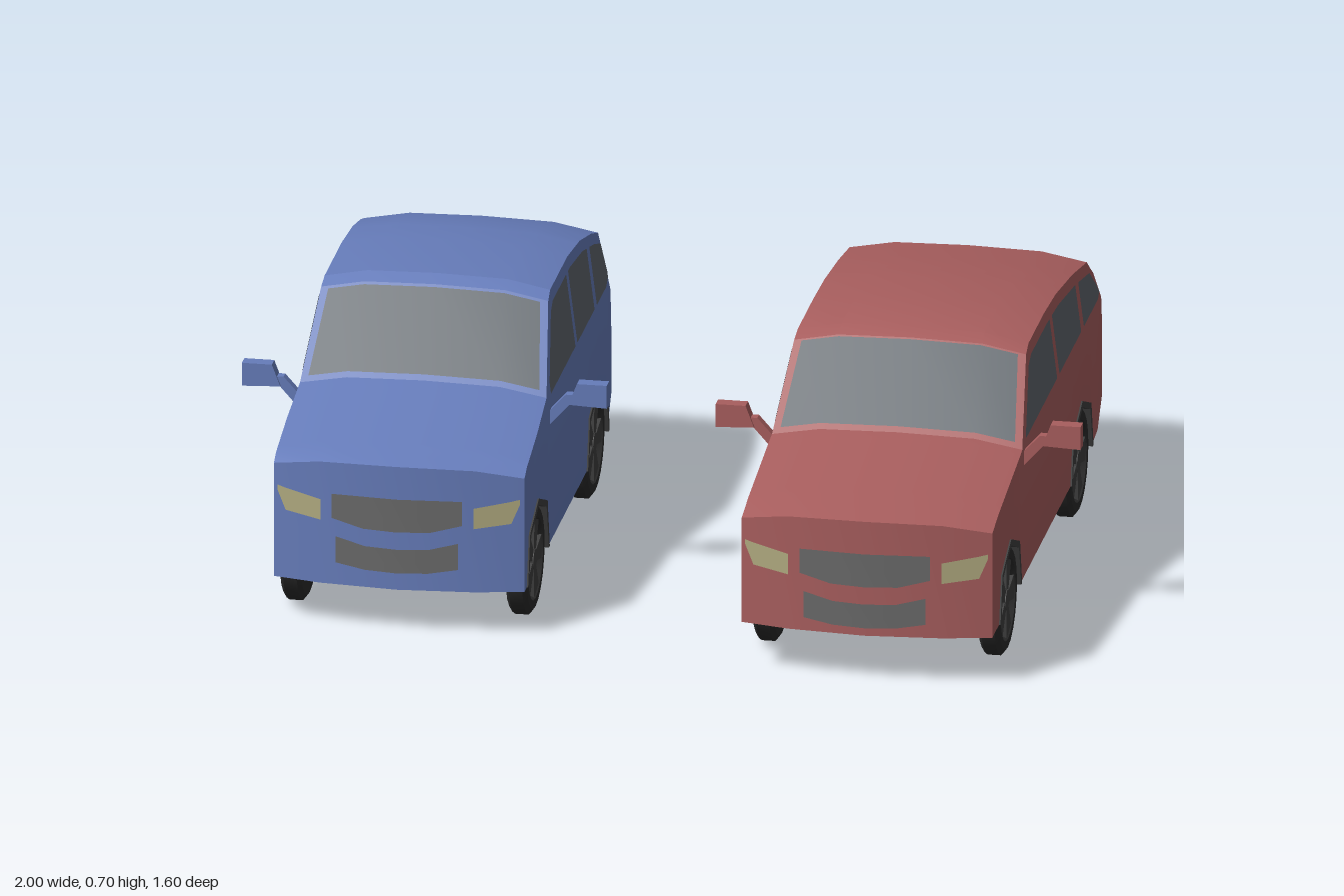
import * as THREE from 'three';
import { toCreasedNormals } from 'three/addons/utils/BufferGeometryUtils.js';

const HALF = 0.2975, BELT = 0.44;
const mat = (color) => new THREE.MeshStandardMaterial({ color, side: THREE.DoubleSide });
const glass = mat(0x5f666c), grey = mat(0x6a6a6a), lamp = mat(0xb0aa80), black = mat(0x2a2a2a), rimGrey = mat(0x404040);

function add(parent, name, geometry, material) {
  const m = new THREE.Mesh(geometry, material);
  m.name = name;
  parent.add(m);
  return m;
}

// Surface through rows of points
function grid(rows) {
  const n = rows[0].length, index = [];
  for (let i = 0; i < rows.length - 1; i++) {
    for (let j = 0; j < n - 1; j++) {
      const a = i * n + j, c = a + n;
      index.push(a, a + 1, c, a + 1, c + 1, c);
    }
  }
  const g = new THREE.BufferGeometry();
  g.setAttribute('position', new THREE.Float32BufferAttribute(rows.flat(2), 3));
  g.setIndex(index);
  g.computeVertexNormals();
  return toCreasedNormals(g, 0.35);
}

// Linear interpolation in a list of [position, value], positions falling
function lerpList(list, p) {
  for (let i = 1; i < list.length; i++) {
    const [p0, v0] = list[i - 1], [p1, v1] = list[i];
    if (p >= p1) return v0 + (v1 - v0) * Math.min(1, Math.max(0, (p0 - p) / (p0 - p1)));
  }
  return list[list.length - 1][1];
}

const polygon = (pts) => new THREE.Shape(pts.map(([x, y]) => new THREE.Vector2(x, y)));

function makeWheel() {
  const wheel = new THREE.Group();
  wheel.name = 'wheel';
  const profile = [[0, -0.025], [0.118, -0.025], [0.131, -0.016], [0.131, 0.016], [0.118, 0.025],
    [0.098, 0.025], [0.092, 0.012], [0, 0.012]].map(([r, y]) => new THREE.Vector2(r, y));
  add(wheel, 'tyre', toCreasedNormals(new THREE.LatheGeometry(profile, 20), 0.5), black);
  add(wheel, 'hub', new THREE.CylinderGeometry(0.025, 0.025, 0.012, 10), rimGrey).position.y = 0.018;
  for (let i = 0; i < 5; i++) {
    const spoke = polygon([[0.015, -0.012], [0.093, -0.03], [0.093, 0.03], [0.015, 0.012]]);
    const g = new THREE.ExtrudeGeometry(spoke, { depth: 0.01, bevelEnabled: false });
    g.rotateX(-Math.PI / 2).translate(0, 0.012, 0).rotateY((i / 5) * Math.PI * 2 + 0.3);
    add(wheel, 'spoke', g, rimGrey);
  }
  wheel.rotation.z = -Math.PI / 2;
  return wheel;
}

function makeCar(c) {
  const car = new THREE.Group();
  car.name = c.name;
  const paint = mat(c.color);
  const front = c.top[0][0], rear = c.top[c.top.length - 1][0];

  // Lower edge, with a notch over each wheel
  const bottom = [[front, c.base]];
  for (const w of c.wheels) {
    for (const [dz, y] of [[0.14, c.base], [0.112, 0.235], [0, 0.28], [-0.112, 0.235], [-0.14, c.base]]) {
      bottom.push([w + dz, y]);
    }
  }
  bottom.push([rear, c.base + 0.035]);

  const topY = (z) => lerpList(c.top, z);
  const botY = (z) => lerpList(bottom, z);
  const taperStart = rear + 0.17;
  const halfWidth = (y, z) => HALF - Math.max(0, y - BELT) * 0.125 - Math.max(0, taperStart - z) * 0.118;
  const drop = (f) => lerpList([[1, 0.024], [0.62, 0.004], [0, 0]], Math.abs(f));
  const noseZ = (x) => front - lerpList([[HALF, 0.04], [0.18, 0.014], [0, 0]], Math.abs(x));
  const across = [-1, -0.62, 0, 0.62, 1];
  const atTop = (f, z, lift = 0) => {
    const x = halfWidth(topY(z) - drop(1), z) * f;
    return [x, topY(z) - drop(f) + lift, (z === front ? noseZ(x) : z)];
  };
  const atSide = (y, z, s, lift = 0) => {
    const x = s * (halfWidth(y, z) + lift);
    return [x, y, z === front ? noseZ(x) : z];
  };

  // Body shell: sections from nose to tail
  const stations = [...new Set([...c.top, ...bottom].map((p) => p[0]).concat(taperStart))].sort((a, b) => b - a);
  const sections = stations.map((z) => {
    const edge = topY(z) - drop(1), mid = Math.min(BELT, edge);
    return [atSide(botY(z), z, -1), atSide(mid, z, -1), ...across.map((f) => atTop(f, z)),
      atSide(mid, z, 1), atSide(botY(z), z, 1)];
  });
  add(car, 'bodyShell', grid(sections), paint);
  const low = (z) => across.map((f) => {
    const [x, , pz] = atTop(f, z);
    return [x, botY(z), pz];
  });
  const high = (z) => across.map((f) => atTop(f, z));
  add(car, 'nosePanel', grid([low(front), high(front)]), paint);
  add(car, 'tailPanel', grid([high(rear), low(rear)]), paint);

  // Underside and inner walls of the wheel wells
  add(car, 'underside', grid(stations.slice().reverse().map(low)), black);
  const z0 = c.wheels[0] + 0.15, z1 = c.wheels[1] - 0.15;
  add(car, 'floorPan', new THREE.BoxGeometry(0.47, 0.17, z0 - z1), black)
    .position.set(0, c.base + 0.086, (z0 + z1) / 2);

  // Windscreen and rear window lie on the shell
  const pane = (name, za, zb, fa, fb) => {
    const row = (z, w) => [-1, -0.66, 0, 0.66, 1].map((f) => atTop(f * w, z, 0.004));
    add(car, name, grid([row(za, fa), row(zb, fb)]), glass);
  };
  pane('windscreen', c.screen[0], c.screen[1], 0.94, 0.93);
  pane('rearWindow', c.backlight[0], c.backlight[1], 0.83, 0.87);

  // Grilles and lamps follow the curve of the nose: columns of [x, low, high]
  const nosePatch = (parent, name, cols, material) => {
    const row = (k) => cols.map((p) => [p[0], p[k] + c.faceLift, noseZ(p[0]) + 0.004]);
    add(parent, name, grid([row(1), row(2)]), material);
  };
  nosePatch(car, 'upperGrille', [[-0.155, 0.265, 0.325], [-0.08, 0.245, 0.325], [0, 0.243, 0.325],
    [0.08, 0.245, 0.325], [0.155, 0.265, 0.325]], grey);
  nosePatch(car, 'lowerGrille', [[-0.145, 0.155, 0.22], [-0.075, 0.143, 0.202], [0, 0.141, 0.2],
    [0.075, 0.143, 0.202], [0.145, 0.155, 0.22]], grey);
  add(car, 'numberPlate', new THREE.BoxGeometry(0.135, 0.06, 0.012), grey).position.set(0, 0.195, rear - 0.001);

  // Everything paired, built on the left and mirrored
  for (const s of [1, -1]) {
    const side = new THREE.Group();
    side.name = s > 0 ? 'leftSide' : 'rightSide';
    side.scale.x = s;
    car.add(side);

    for (const [za, zb] of c.windows) {
      const zs = [za, ...stations.filter((z) => z < za && z > zb), zb];
      const row = (fn) => zs.map((z) => atSide(fn(z), z, 1, 0.003));
      add(side, 'sideWindow', grid([row(() => c.sill), row((z) => Math.max(c.sill, topY(z) - 0.05))]), glass);
    }

    for (const w of c.wheels) {
      const wheel = makeWheel();
      wheel.position.set(0.268, 0.131, w);
      side.add(wheel);
      const arch = polygon([[-0.142, c.base], [-0.114, 0.236], [0, 0.282], [0.114, 0.236], [0.142, c.base],
        [0.13, c.base], [0.1, 0.225], [0, 0.267], [-0.1, 0.225], [-0.13, c.base]]);
      const g = new THREE.ExtrudeGeometry(arch, { depth: 0.06, bevelEnabled: false });
      g.rotateY(Math.PI / 2).translate(0.241, 0, w);
      add(side, 'wheelArch', g, rimGrey);
    }

    const mirror = (name, pts, depth) => {
      const g = new THREE.ExtrudeGeometry(polygon(pts), { depth, bevelEnabled: false });
      g.translate(0, c.mirror[1], c.mirror[0] - depth / 2);
      add(side, name, g, paint);
    };
    mirror('mirrorHousing', [[0.342, 0.452], [0.433, 0.448], [0.433, 0.505], [0.362, 0.505]], 0.032);
    mirror('mirrorArm', [[0.29, 0.39], [0.345, 0.452], [0.352, 0.475], [0.335, 0.475], [0.29, 0.425]], 0.022);

    nosePatch(side, 'headlight', [[0.182, 0.258, 0.309], [0.268, 0.27, 0.325], [0.288, 0.318, 0.33]], lamp);
    add(side, 'tailLight', new THREE.BoxGeometry(0.085, 0.05, 0.01), lamp).position.set(0.22, 0.305, rear);
  }
  car.position.x = c.x;
  return car;
}

export function createModel() {
  const model = new THREE.Group();
  model.name = 'twoCars';
  model.add(makeCar({
    name: 'longCar', x: 0.567, color: 0xa85e5e, base: 0.121, faceLift: 0, sill: 0.457,
    top: [[0.795, 0.405], [0.36, 0.468], [0.19, 0.642], [0.15, 0.655], [-0.05, 0.655], [-0.2, 0.648],
      [-0.4, 0.623], [-0.57, 0.592], [-0.6, 0.565], [-0.76, 0.435], [-0.787, 0.37], [-0.793, 0.33]],
    wheels: [0.525, -0.41], screen: [0.352, 0.196], backlight: [-0.602, -0.745],
    windows: [[0.315, -0.09], [-0.12, -0.405], [-0.44, -0.675]], mirror: [0.332, 0],
  }));
  model.add(makeCar({
    name: 'shortCar', x: -0.567, color: 0x667cba, base: 0.112, faceLift: 0.013, sill: 0.475,
    top: [[0.665, 0.418], [0.31, 0.503], [0.16, 0.688], [0.125, 0.703], [-0.1, 0.703], [-0.25, 0.687],
      [-0.38, 0.657], [-0.455, 0.632], [-0.48, 0.595], [-0.585, 0.445], [-0.612, 0.38], [-0.622, 0.33]],
    wheels: [0.455, -0.33], screen: [0.303, 0.167], backlight: [-0.47, -0.577],
    windows: [[0.27, -0.05], [-0.075, -0.3], [-0.33, -0.52]], mirror: [0.28, 0.008],
  }));
  return model;
}
